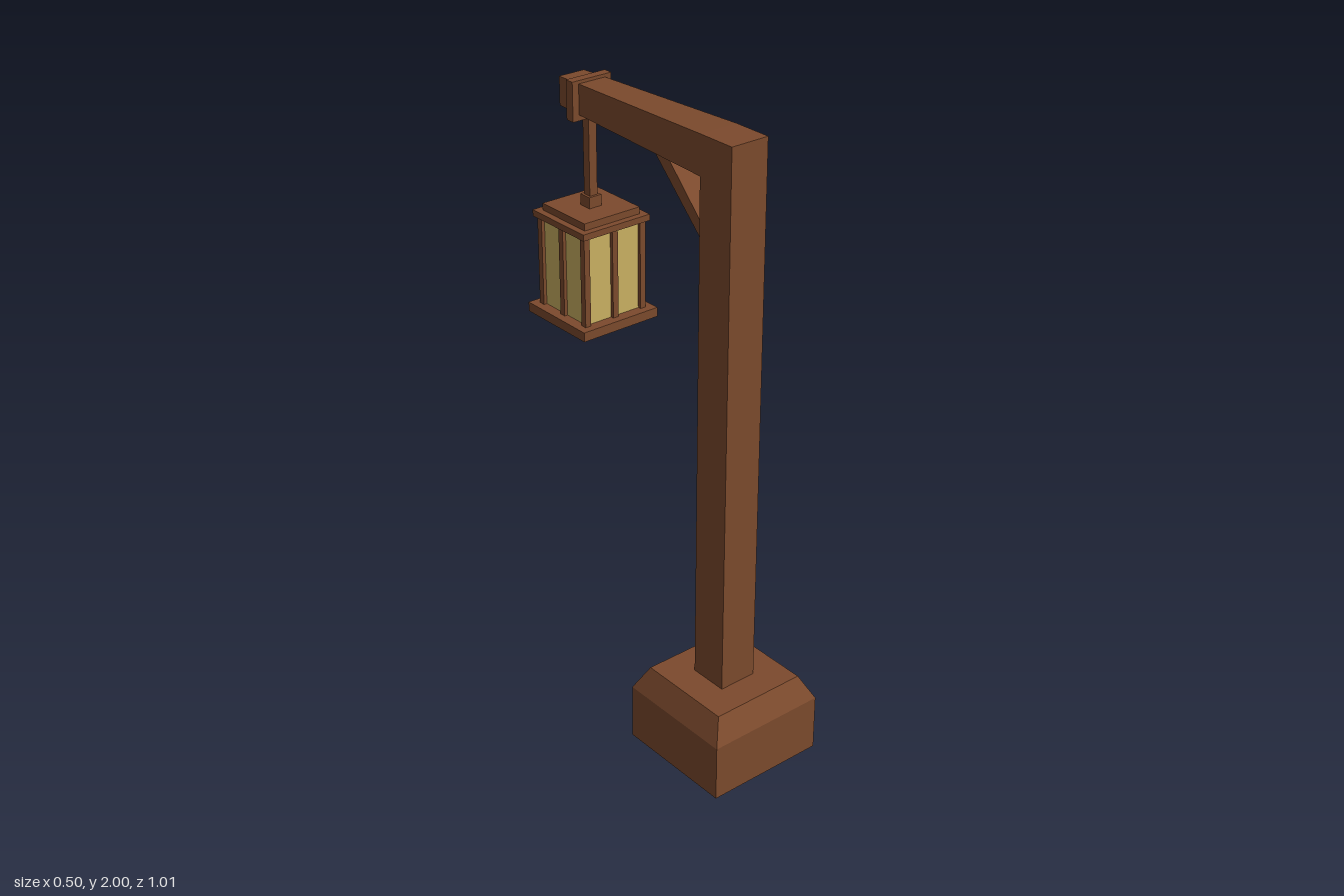
import * as THREE from 'three';

export function createModel() {
  const wood = new THREE.MeshStandardMaterial({ color: 0x7c4a2d });
  wood.name = 'brown wood';
  const glass = new THREE.MeshStandardMaterial({ color: 0xcbb162 });
  glass.name = 'yellow glass';

  const model = new THREE.Group();
  model.name = 'lampPost';

  const add = (parent, name, geometry, material = wood) => {
    const mesh = new THREE.Mesh(geometry, material);
    mesh.name = name;
    parent.add(mesh);
    return mesh;
  };

  // Square block from y0 to y1, bottom side w0, top side w1
  const block = (w0, w1, y0, y1) => {
    const g = new THREE.BoxGeometry(1, y1 - y0, 1).translate(0, (y0 + y1) / 2, 0);
    const p = g.attributes.position;
    for (let i = 0; i < p.count; i++) {
      const w = p.getY(i) > (y0 + y1) / 2 ? w1 : w0;
      p.setX(i, p.getX(i) * w);
      p.setZ(i, p.getZ(i) * w);
    }
    g.computeVertexNormals();
    return g;
  };

  // Everything is turned ten degrees about the post axis
  const stand = new THREE.Group();
  stand.name = 'stand';
  stand.position.set(-0.021, 0, 0.273);
  stand.rotation.y = -Math.PI / 18;
  model.add(stand);

  // Footing and post
  add(stand, 'base', block(0.4, 0.4, 0, 0.185));
  add(stand, 'baseBevel', block(0.4, 0.32, 0.185, 0.263));
  add(stand, 'post', block(0.127, 0.127, 0.263, 2));

  // Arm tapering away from the post
  const armStart = -0.0635, armEnd = -0.711;
  const arm = new THREE.BoxGeometry(1, 1, armStart - armEnd);
  arm.translate(0, 0, (armStart + armEnd) / 2);
  const p = arm.attributes.position;
  for (let i = 0; i < p.count; i++) {
    const far = p.getZ(i) < -0.4;
    p.setX(i, p.getX(i) * (far ? 0.09 : 0.127));
    p.setY(i, 1.94 + p.getY(i) * (far ? 0.088 : 0.12));
  }
  arm.computeVertexNormals();
  add(stand, 'arm', arm);

  // Collar near the arm's end
  add(stand, 'armCollar', new THREE.BoxGeometry(0.14, 0.12, 0.03)).position.set(0, 1.936, -0.63);

  // Diagonal brace, side profile in (-z, y)
  const profile = new THREE.Shape([
    [0.06, 1.651], [0.315, 1.9], [0.25, 1.895], [0.06, 1.7],
  ].map(([a, b]) => new THREE.Vector2(a, b)));
  const brace = new THREE.ExtrudeGeometry(profile, { depth: 0.07, bevelEnabled: false });
  brace.translate(0, 0, -0.035).rotateY(Math.PI / 2);
  add(stand, 'brace', brace);

  // Hanging lantern
  const lantern = new THREE.Group();
  lantern.name = 'lantern';
  lantern.position.z = -0.63;
  stand.add(lantern);
  add(lantern, 'hangingRod', block(0.028, 0.028, 1.63, 1.9));
  add(lantern, 'rodSocket', block(0.044, 0.044, 1.6, 1.635));
  add(lantern, 'roofCap', block(0.204, 0.204, 1.578, 1.6));
  add(lantern, 'roof', block(0.247, 0.247, 1.558, 1.578));
  add(lantern, 'glassBody', block(0.206, 0.206, 1.275, 1.558), glass);
  add(lantern, 'floor', block(0.278, 0.278, 1.245, 1.275));
  add(lantern, 'floorTaper', block(0.14, 0.278, 1.215, 1.245));

  // Corner bars and middle bars round the glass
  for (let i = -1; i <= 1; i++) {
    for (let j = -1; j <= 1; j++) {
      if (i === 0 && j === 0) continue;
      const bar = add(lantern, i && j ? 'cornerBar' : 'middleBar', block(0.02, 0.02, 1.275, 1.558));
      bar.position.set(i * 0.104, 0, j * 0.104);
    }
  }
  return model;
}
